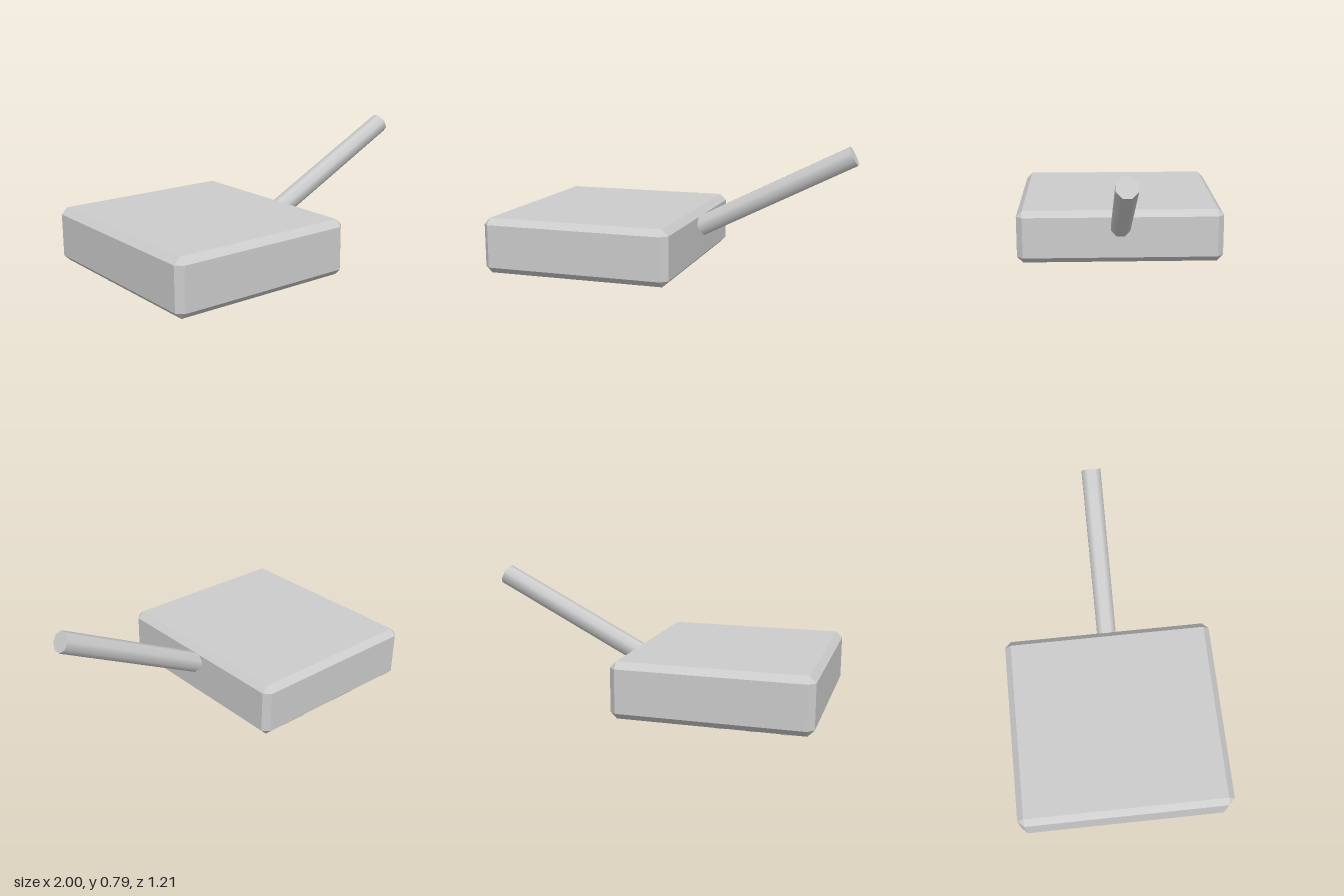
import * as THREE from 'three';
import { ConvexGeometry } from 'three/addons/geometries/ConvexGeometry.js';

// Box with every edge chamfered by c: 24 corner points, flat faces
function chamferedBox(w, h, d, c) {
  const points = [];
  const half = [w / 2, h / 2, d / 2];
  for (const sx of [-1, 1]) for (const sy of [-1, 1]) for (const sz of [-1, 1]) {
    for (let full = 0; full < 3; full++) {
      const p = [sx, sy, sz].map((s, i) => s * (half[i] - (i === full ? 0 : c)));
      points.push(new THREE.Vector3(...p));
    }
  }
  return new ConvexGeometry(points);
}

export function createModel() {
  const model = new THREE.Group();
  const grey = new THREE.MeshStandardMaterial({ color: 0xcccccc });
  grey.name = 'light grey';

  const add = (name, geometry, x, y, z) => {
    const mesh = new THREE.Mesh(geometry, grey);
    mesh.name = name;
    mesh.position.set(x, y, z);
    model.add(mesh);
    return mesh;
  };

  // Chamfered body
  add('body', chamferedBox(1.09, 0.315, 1.214, 0.036), -0.455, 0.235, 0);

  // Slanted eight-sided handle, running out of the left face
  const start = new THREE.Vector3(0.095, 0.3, 0);
  const end = new THREE.Vector3(0.97, 0.745, 0);
  const axis = end.clone().sub(start);
  const middle = start.clone().add(end).multiplyScalar(0.5);
  const handleGeometry = new THREE.CylinderGeometry(0.06, 0.06, axis.length(), 8);
  handleGeometry.rotateY(Math.PI / 8);
  const handle = add('handle', handleGeometry, middle.x, middle.y, middle.z);
  handle.quaternion.setFromUnitVectors(new THREE.Vector3(0, 1, 0), axis.normalize());

  // Row of three pegs under the body
  for (let i = 0; i < 3; i++) {
    add('peg' + (i + 1), new THREE.CylinderGeometry(0.049, 0.049, 0.08, 10), -0.817 + i * 0.181, 0.04, -0.303);
  }

  // Thin plate under the body
  add('bottomPlate', new THREE.BoxGeometry(0.12, 0.014, 0.072), -0.09, 0.073, 0.37);

  return model;
}
